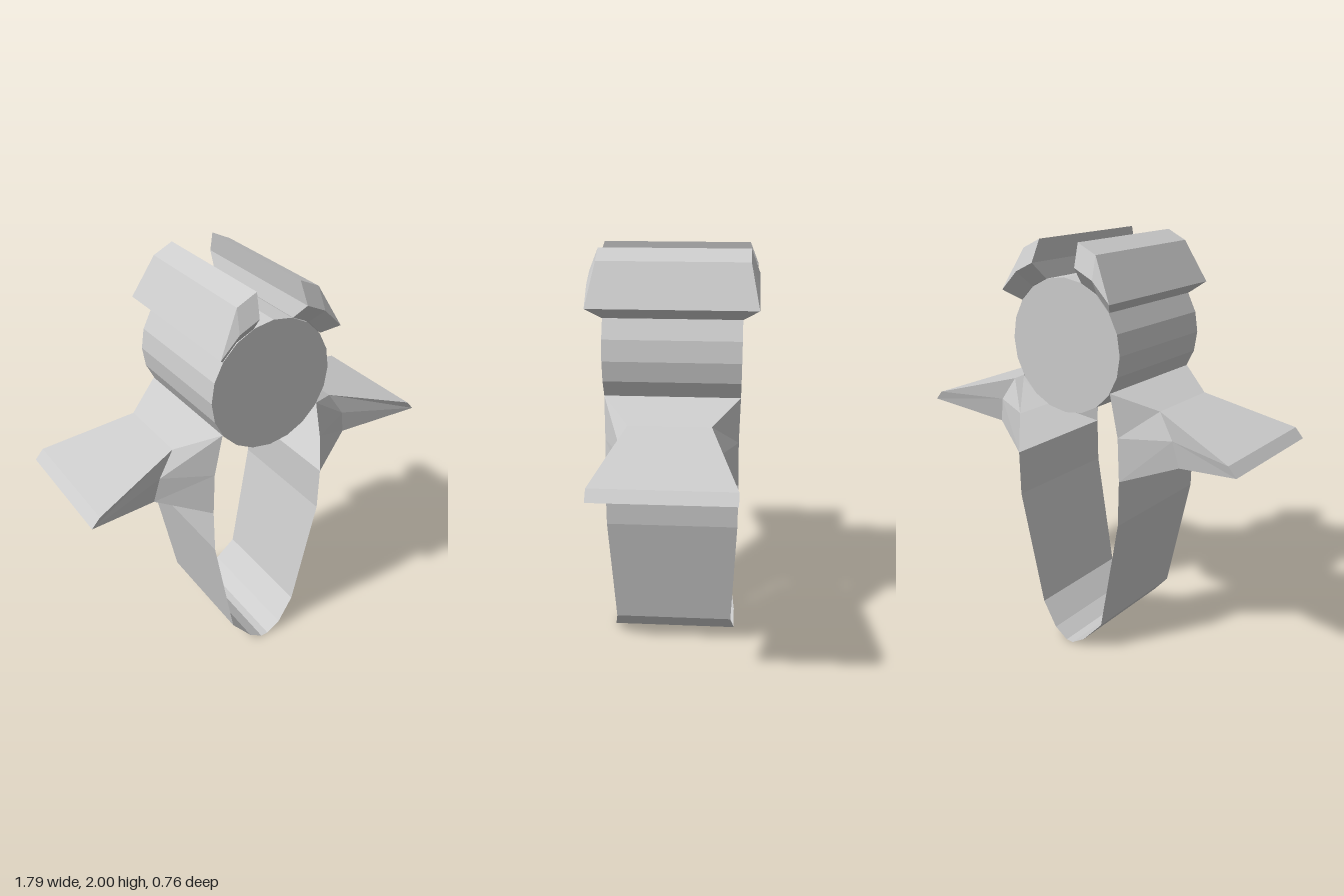
import * as THREE from 'three';

const grey = new THREE.MeshStandardMaterial({ color: 0xcccccc, flatShading: true, side: THREE.DoubleSide });
grey.name = 'plain grey';

// Mesh from quads, each listed counter-clockwise; collapsed triangles are dropped.
function meshFromQuads(name, quads, flip) {
  const pos = [];
  const tri = (a, b, c) => {
    const [A, B, C] = [a, b, c].map((p) => new THREE.Vector3(...p));
    if (B.clone().sub(A).cross(C.clone().sub(A)).length() < 1e-6) return;
    pos.push(...a, ...(flip ? c : b), ...(flip ? b : c));
  };
  for (const [a, b, c, d] of quads) {
    tri(a, b, c);
    tri(a, c, d);
  }
  const geometry = new THREE.BufferGeometry();
  geometry.setAttribute('position', new THREE.Float32BufferAttribute(pos, 3));
  geometry.computeVertexNormals();
  const mesh = new THREE.Mesh(geometry, grey);
  mesh.name = name;
  return mesh;
}

// A front panel (rows top to bottom, points inner to outer), its copy at the
// back, and walls joining their rims. openInner leaves the inner wall out.
function shell(name, rows, side, openInner) {
  const grid = rows.map((row) => row.map(([x, y, z]) => [x * side, y, z]));
  const back = ([x, y, z]) => [x, y, -z];
  const R = grid.length - 1, C = grid[0].length - 1;
  const quads = [];
  const wall = (p, q) => quads.push([q, p, back(p), back(q)]);
  for (let r = 0; r < R; r++) {
    for (let c = 0; c < C; c++) {
      const q = [grid[r][c], grid[r + 1][c], grid[r + 1][c + 1], grid[r][c + 1]];
      quads.push(q, q.map(back).reverse());
    }
    wall(grid[r + 1][C], grid[r][C]);
    if (!openInner) wall(grid[r][0], grid[r + 1][0]);
  }
  for (let c = 0; c < C; c++) {
    wall(grid[0][c + 1], grid[0][c]);
    wall(grid[R][c], grid[R][c + 1]);
  }
  return meshFromQuads(name, quads, side < 0);
}

export function createModel() {
  const model = new THREE.Group();
  model.name = 'ring';

  // Drum lying front to back
  const drum = new THREE.Mesh(new THREE.CylinderGeometry(0.308, 0.308, 0.62, 20), grey);
  drum.name = 'drum';
  drum.geometry.rotateY(Math.PI / 2).rotateX(Math.PI / 2);
  drum.position.y = 1.533;
  model.add(drum);

  // Pinched side wings, hollow towards the finger hole
  const wing = [
    [[0.255, 1.36, 0.31], [0.437, 1.283, 0.185], [0.855, 1.165, 0.305]],
    [[0.295, 1.16, 0.305], [0.515, 1.165, 0.2], [0.895, 1.12, 0.305]],
    [[0.307, 0.955, 0.31], [0.543, 1.04, 0.185], [0.895, 1.12, 0.305]],
  ];

  // Curved clamps on top of the drum
  const clamp = [
    [[0.108, 2.0, 0.34], [0.203, 1.955, 0.34], [0.305, 1.765, 0.38]],
    [[0.12, 1.9, 0.38], [0.215, 1.855, 0.38], [0.305, 1.765, 0.38]],
    [[0.1, 1.825, 0.31], [0.185, 1.785, 0.31], [0.252, 1.715, 0.31]],
  ];

  for (const [side, label] of [[1, 'left'], [-1, 'right']]) {
    model.add(shell(label + 'Wing', wing, side, true));
    model.add(shell(label + 'Clamp', clamp, side, false));
  }

  // Finger band: a thin sheet, half path [x, y, half width] mirrored
  const half = [[0.307, 0.955, 0.31], [0.302, 0.735, 0.31], [0.187, 0.155, 0.29], [0.092, 0.047, 0.31], [0.02, 0, 0.31]];
  const path = [...half.map(([x, y, z]) => [-x, y, z]), ...half.slice().reverse()];
  const strips = [];
  for (let i = 0; i < path.length - 1; i++) {
    const [x0, y0, z0] = path[i], [x1, y1, z1] = path[i + 1];
    strips.push([[x0, y0, z0], [x0, y0, -z0], [x1, y1, -z1], [x1, y1, z1]]);
  }
  model.add(meshFromQuads('fingerBand', strips, false));

  return model;
}
